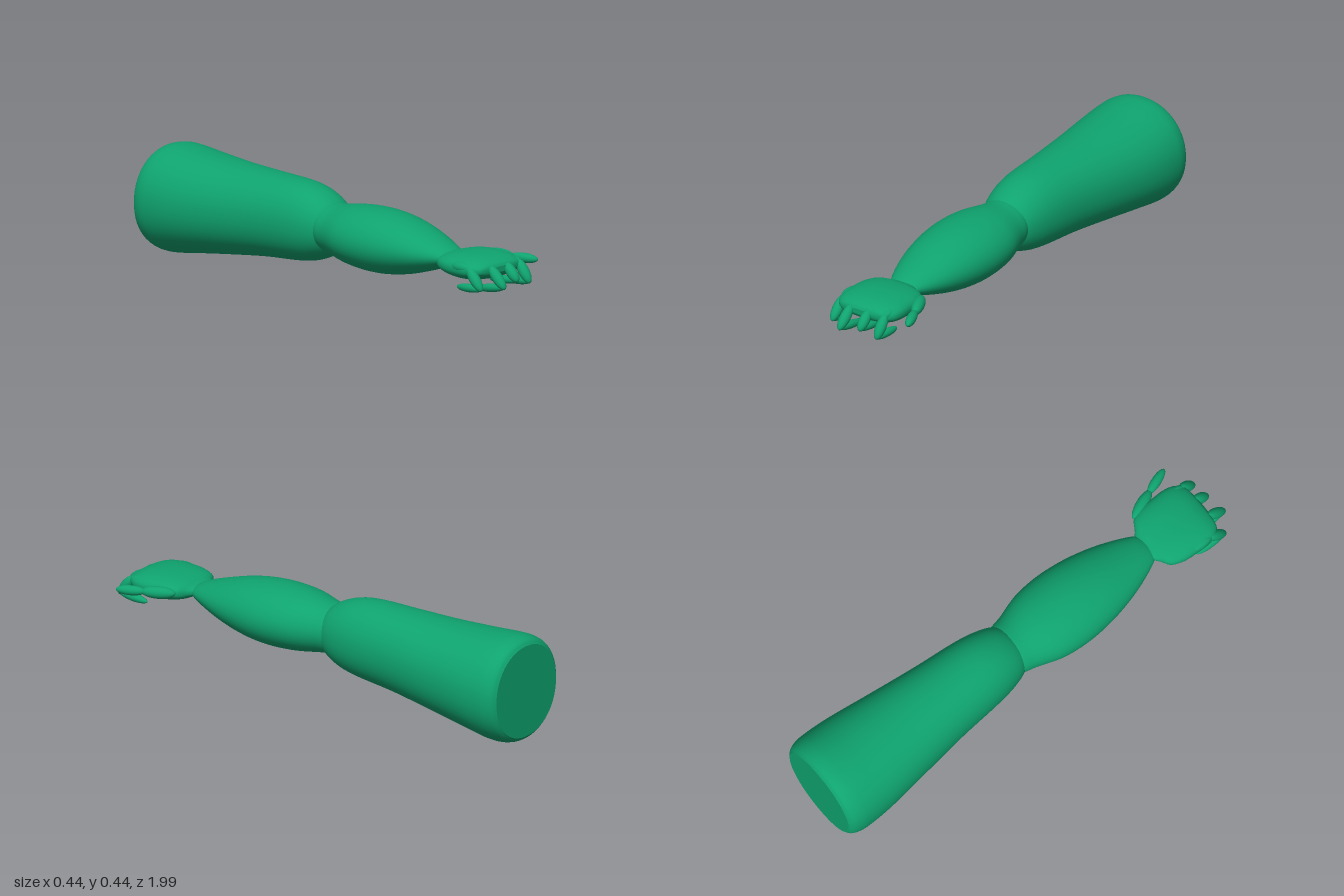
import * as THREE from 'three';

const skin = new THREE.MeshStandardMaterial({ color: 0x0fa36f });

// Smooth closed loft along z. Rows: [z, halfWidth, bottomY, topY]; power > 2 squares the section.
function loft(name, rows, power = 2, steps = 60, sides = 56) {
  const ends = new THREE.CatmullRomCurve3(rows.map(r => new THREE.Vector3(r[0], r[2], r[3])), false, 'centripetal');
  const widths = new THREE.CatmullRomCurve3(rows.map(r => new THREE.Vector3(r[0], r[1], 0)), false, 'centripetal');
  const pos = [], index = [];
  const bend = v => Math.sign(v) * Math.pow(Math.abs(v), 2 / power);
  const section = t => {
    const e = ends.getPoint(t), w = widths.getPoint(t).y;
    return { z: e.x, w, y: (e.y + e.z) / 2, h: (e.z - e.y) / 2 };
  };
  const ring = s => {
    for (let j = 0; j < sides; j++) {
      const a = (j / sides) * Math.PI * 2;
      pos.push(s.w * bend(Math.cos(a)), s.y + s.h * bend(Math.sin(a)), s.z);
    }
  };
  for (let i = 0; i <= steps; i++) ring(section(i / steps));
  for (let i = 0; i < steps; i++) {
    for (let j = 0; j < sides; j++) {
      const a = i * sides + j, b = i * sides + (j + 1) % sides;
      index.push(a, b, a + sides, b, b + sides, a + sides);
    }
  }
  // flat end caps with their own rings so their rims stay crisp
  for (const t of [0, 1]) {
    const s = section(t), start = pos.length / 3;
    ring(s);
    pos.push(0, s.y, s.z);
    for (let j = 0; j < sides; j++) {
      const a = start + j, b = start + (j + 1) % sides;
      if (t) index.push(a, b, start + sides); else index.push(b, a, start + sides);
    }
  }
  const g = new THREE.BufferGeometry();
  g.setAttribute('position', new THREE.Float32BufferAttribute(pos, 3));
  g.setIndex(index);
  g.computeVertexNormals();
  const mesh = new THREE.Mesh(g, skin);
  mesh.name = name;
  return mesh;
}

// Stretched ellipsoid between two points
function phalanx(name, from, to, radius) {
  const a = new THREE.Vector3(...from), b = new THREE.Vector3(...to);
  const dir = b.clone().sub(a), length = dir.length();
  const mesh = new THREE.Mesh(new THREE.SphereGeometry(1, 24, 18), skin);
  mesh.name = name;
  mesh.scale.set(radius, length / 2 + radius * 0.4, radius);
  mesh.position.copy(a).add(b).multiplyScalar(0.5);
  mesh.quaternion.setFromUnitVectors(new THREE.Vector3(0, 1, 0), dir.normalize());
  return mesh;
}

function digit(name, points, radii) {
  const g = new THREE.Group();
  g.name = name;
  radii.forEach((r, i) => g.add(phalanx(name + 'Segment' + (i + 1), points[i], points[i + 1], r)));
  return g;
}

export function createModel() {
  const arm = new THREE.Group();
  arm.name = 'arm';

  arm.add(loft('upperArm', [
    [-1, 0.188, 0.03, 0.41], [-0.985, 0.205, 0.014, 0.428], [-0.95, 0.217, 0.004, 0.438],
    [-0.9, 0.22, 0.004, 0.438], [-0.8, 0.215, 0.02, 0.43], [-0.6, 0.19, 0.05, 0.42],
    [-0.4, 0.165, 0.077, 0.418], [-0.2, 0.146, 0.096, 0.414], [-0.12, 0.132, 0.112, 0.397],
    [-0.06, 0.112, 0.138, 0.37], [-0.03, 0.09, 0.16, 0.345], [-0.01, 0.05, 0.2, 0.3],
  ], 2.1));

  arm.add(loft('forearm', [
    [-0.14, 0.06, 0.2, 0.31], [-0.06, 0.108, 0.16, 0.352], [0, 0.124, 0.15, 0.358],
    [0.1, 0.156, 0.135, 0.375], [0.2, 0.167, 0.128, 0.382], [0.3, 0.163, 0.132, 0.378],
    [0.4, 0.147, 0.149, 0.362], [0.5, 0.12, 0.177, 0.335], [0.6, 0.08, 0.212, 0.302],
    [0.635, 0.06, 0.228, 0.286], [0.65, 0.035, 0.24, 0.275],
  ]));

  const hand = new THREE.Group();
  hand.name = 'hand';
  arm.add(hand);

  hand.add(loft('palm', [
    [0.62, 0.05, 0.24, 0.278], [0.645, 0.08, 0.234, 0.285], [0.67, 0.118, 0.224, 0.297],
    [0.72, 0.138, 0.213, 0.308], [0.78, 0.143, 0.207, 0.313], [0.84, 0.143, 0.212, 0.31],
    [0.88, 0.132, 0.222, 0.302], [0.91, 0.105, 0.238, 0.288], [0.92, 0.05, 0.252, 0.275],
  ], 2.4));

  // Curled fingers: x, knuckle z, furthest z, bend height, tip z, tip height
  const fingers = [
    ['littleFinger', -0.125, 0.83, 0.93, 0.2, 0.8, 0.19],
    ['ringFinger', -0.052, 0.88, 0.985, 0.205, 0.84, 0.18],
    ['middleFinger', 0.033, 0.88, 0.967, 0.218, 0.82, 0.2],
    ['indexFinger', 0.107, 0.87, 0.958, 0.2, 0.83, 0.19],
  ];
  for (const [name, x, zk, zf, yb, zt, yt] of fingers) {
    hand.add(digit(name, [
      [x, 0.27, zk - 0.06], [x, 0.272, zk + 0.03], [x * 1.01, yb, zf], [x, yt, zt],
    ], [0.021, 0.022, 0.017]));
  }

  hand.add(digit('thumb', [
    [0.125, 0.265, 0.68], [0.172, 0.262, 0.79], [0.21, 0.259, 0.89],
  ], [0.025, 0.02]));

  return arm;
}
